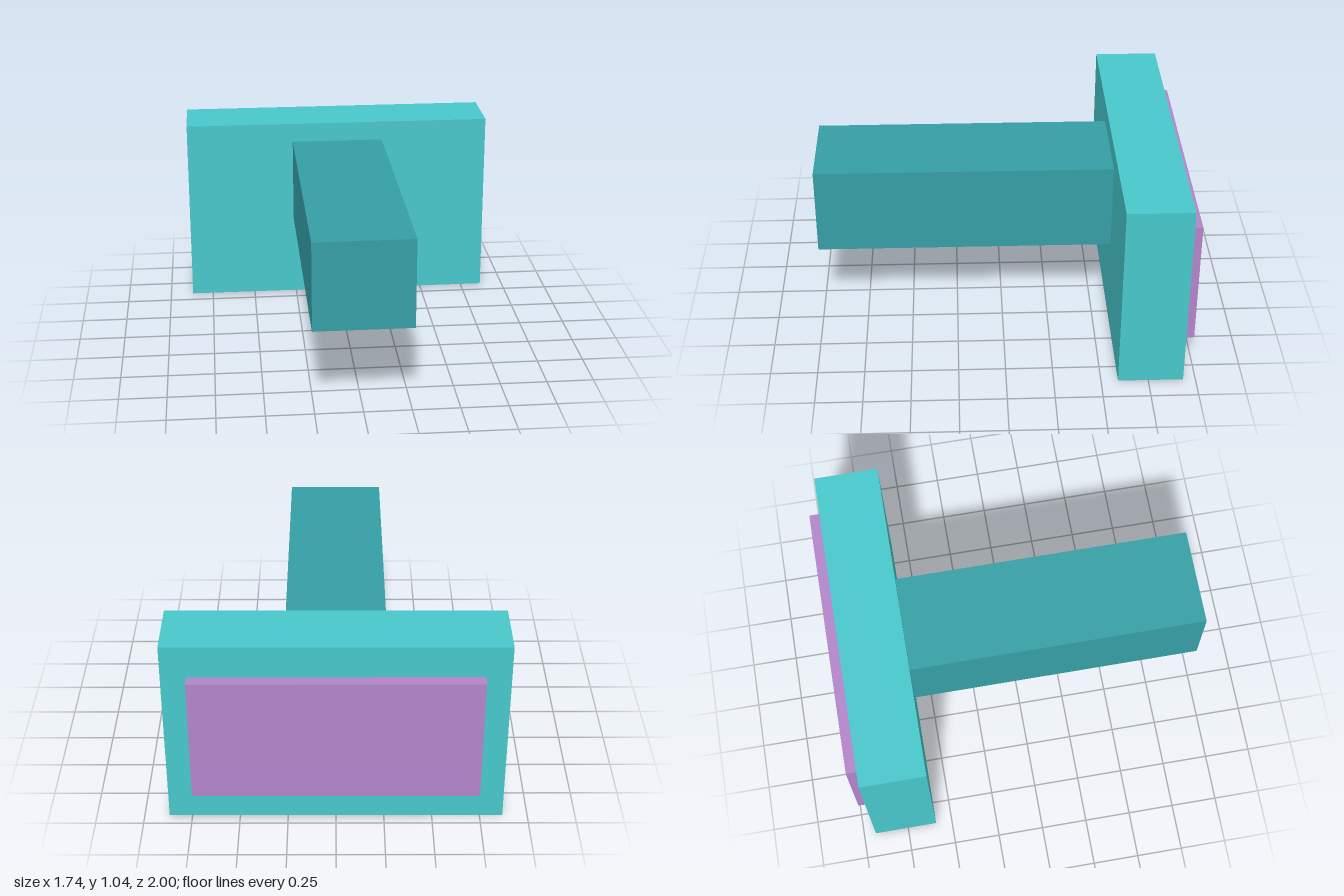
import * as THREE from 'three';

const material = (name, color) => {
  const m = new THREE.MeshStandardMaterial({ color });
  m.name = name;
  return m;
};

// Box given by its [min, max] extent on each axis
function box(name, mat, [x0, x1], [y0, y1], [z0, z1]) {
  const mesh = new THREE.Mesh(new THREE.BoxGeometry(x1 - x0, y1 - y0, z1 - z0), mat);
  mesh.position.set((x0 + x1) / 2, (y0 + y1) / 2, (z0 + z1) / 2);
  mesh.name = name;
  return mesh;
}

export function createModel() {
  const turquoise = material('turquoise', 0x48c8cc);
  const darkTeal = material('dark teal', 0x369fa6);
  const purple = material('purple', 0xb285cb);

  const model = new THREE.Group();
  model.name = 'blockWithHandle';
  model.add(
    // Wide upright block
    box('headBlock', turquoise, [-0.87, 0.87], [0, 1.045], [-0.935, -0.59]),
    // Long bar reaching forward from the block
    box('handle', darkTeal, [-0.26, 0.26], [0.46, 0.937], [-0.59, 1]),
    // Raised panel on the back
    box('backPanel', purple, [-0.74, 0.74], [0.178, 0.87], [-1, -0.935]),
  );
  return model;
}
